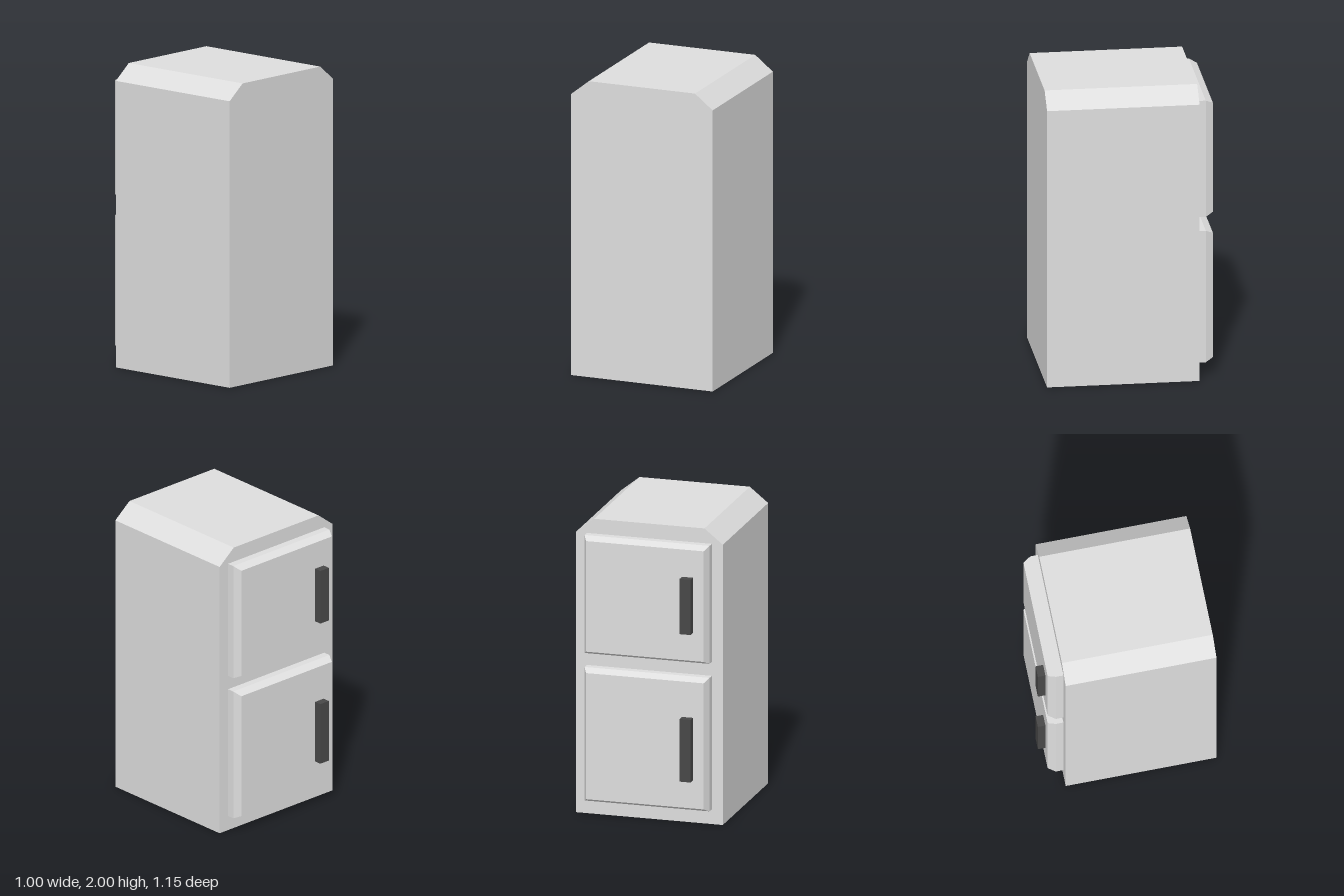
import * as THREE from 'three';

const bodyGrey = new THREE.MeshStandardMaterial({ color: 0xdedede });
bodyGrey.name = 'bodyGrey';
const handleDark = new THREE.MeshStandardMaterial({ color: 0x484848 });
handleDark.name = 'handleDark';

const BACK = -0.425; // cabinet face that carries the doors

// Cabinet: upright block with its two long top edges cut off
function makeCabinet() {
  const outline = new THREE.Shape([
    [-0.5, 0], [0.5, 0], [0.5, 1.9], [0.375, 2], [-0.375, 2], [-0.5, 1.9],
  ].map(([x, y]) => new THREE.Vector2(x, y)));
  const geometry = new THREE.ExtrudeGeometry(outline, { depth: 1, bevelEnabled: false });
  geometry.translate(0, 0, BACK);
  const cabinet = new THREE.Mesh(geometry, bodyGrey);
  cabinet.name = 'cabinet';
  return cabinet;
}

// Door panel: a box whose outer half tapers in on all four sides
function makePanel(height) {
  const width = 0.85, depth = 0.1, inset = 0.025;
  const box = new THREE.BoxGeometry(width, height, depth, 1, 1, 2);
  const p = box.attributes.position;
  for (let i = 0; i < p.count; i++) {
    if (p.getZ(i) > -depth / 2 + 0.001) continue;
    p.setX(i, p.getX(i) - Math.sign(p.getX(i)) * inset);
    p.setY(i, p.getY(i) - Math.sign(p.getY(i)) * inset);
  }
  const geometry = box.toNonIndexed();
  geometry.computeVertexNormals();
  const panel = new THREE.Mesh(geometry, bodyGrey);
  panel.name = 'doorPanel';
  panel.position.z = -depth / 2;
  return panel;
}

function makeDoor(name, bottom, top, handleBottom, handleTop) {
  const door = new THREE.Group();
  door.name = name;
  const middle = (bottom + top) / 2;
  door.position.set(0, middle, BACK);
  door.add(makePanel(top - bottom));

  const handle = new THREE.Mesh(
    new THREE.BoxGeometry(0.075, handleTop - handleBottom, 0.05), handleDark);
  handle.name = 'handle';
  handle.position.set(-0.29, (handleBottom + handleTop) / 2 - middle, -0.125);
  door.add(handle);
  return door;
}

export function createModel() {
  const model = new THREE.Group();
  model.name = 'refrigerator';
  model.add(
    makeCabinet(),
    makeDoor('upperDoor', 1.1, 1.9, 1.315, 1.69),
    makeDoor('lowerDoor', 0.1, 1.005, 0.315, 0.74),
  );
  return model;
}
